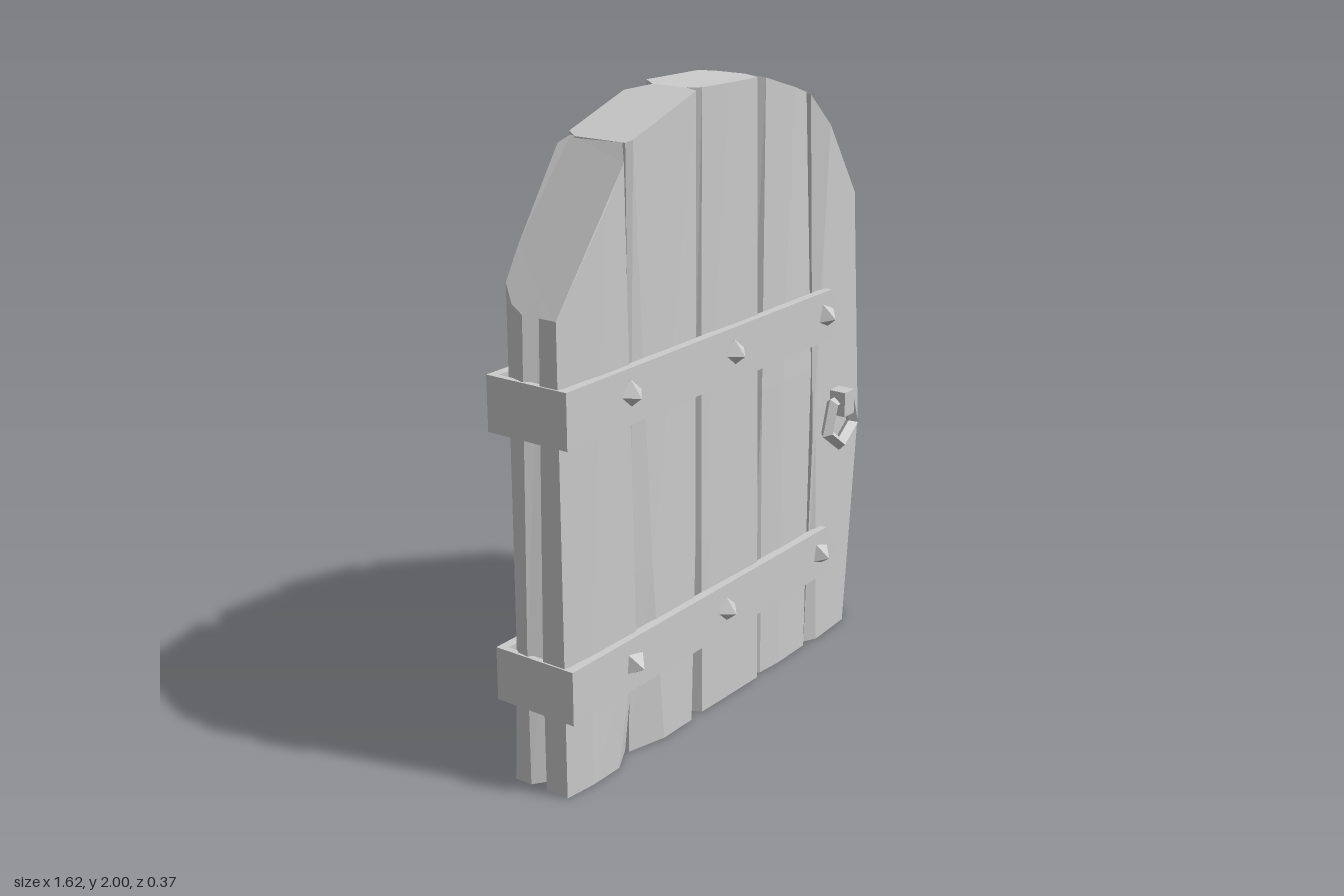
import * as THREE from 'three';

const material = new THREE.MeshStandardMaterial({ color: 0xcccccc, flatShading: true, side: THREE.DoubleSide });

function addMesh(parent, name, geometry, x = 0, y = 0, z = 0) {
  const mesh = new THREE.Mesh(geometry, material);
  mesh.name = name;
  mesh.position.set(x, y, z);
  parent.add(mesh);
  return mesh;
}

// Height of the arched top at a given x
const arch = [[-0.82, 1.44], [-0.6, 1.73], [-0.485, 1.89], [-0.16, 2], [0.17, 2], [0.49, 1.9], [0.73, 1.55], [0.8, 1.43]];
function topY(x) {
  let i = 0;
  while (i < arch.length - 2 && x > arch[i + 1][0]) i++;
  const [[x0, y0], [x1, y1]] = [arch[i], arch[i + 1]];
  return THREE.MathUtils.lerp(y0, y1, (x - x0) / (x1 - x0));
}

// Hewn plank: each column is [x,z at floor, x,z at height mid, x,z at the top],
// columns run from front left to front right and back along the rear
function plankGeometry(mid, columns) {
  const n = columns.length;
  const point = (i, level) => {
    const c = columns[i % n], x = c[level * 2], z = c[level * 2 + 1];
    return [x, [0, mid, topY(x)][level], z];
  };
  const positions = [];
  const tri = (a, b, c) => positions.push(...a, ...b, ...c);
  for (let level = 0; level < 2; level++) {
    for (let i = 0; i < n; i++) {
      const a = point(i, level), b = point(i + 1, level);
      const c = point(i + 1, level + 1), d = point(i, level + 1);
      tri(a, b, c);
      tri(a, c, d);
    }
  }
  for (const level of [0, 2]) {
    const ring = columns.map((c) => new THREE.Vector2(c[level * 2], -c[level * 2 + 1]));
    for (const [a, b, c] of THREE.ShapeUtils.triangulateShape(ring, [])) {
      const [p, q, r] = [a, b, c].map((i) => point(i, level));
      if (level) tri(p, q, r); else tri(p, r, q);
    }
  }
  const geometry = new THREE.BufferGeometry();
  geometry.setAttribute('position', new THREE.Float32BufferAttribute(positions, 3));
  geometry.computeVertexNormals();
  return geometry;
}

function addPlanks(door) {
  const planks = new THREE.Group();
  planks.name = 'planks';
  door.add(planks);

  // Outer plank on the hinge side, with a split along its edge
  addMesh(planks, 'hingePlank', plankGeometry(0.42, [
    [-0.81, 0.11, -0.81, 0.11, -0.81, 0.11],
    [-0.7, 0.122, -0.7, 0.12, -0.6, 0.122],
    [-0.58, 0.122, -0.49, 0.122, -0.52, 0.122],
    [-0.485, 0.07, -0.485, 0.118, -0.485, 0.09],
    [-0.485, -0.09, -0.485, -0.1, -0.48, -0.1],
    [-0.5, -0.12, -0.5, -0.125, -0.5, -0.13],
    [-0.7, -0.12, -0.7, -0.125, -0.69, -0.122],
    [-0.78, -0.115, -0.76, -0.115, -0.76, -0.11],
    [-0.81, -0.09, -0.805, -0.07, -0.795, -0.06],
    [-0.81, -0.03, -0.81, -0.03, -0.81, -0.01],
    [-0.77, 0.0, -0.775, 0.0, -0.77, 0.02],
    [-0.81, 0.03, -0.81, 0.03, -0.81, 0.05],
  ]));

  addMesh(planks, 'innerHingePlank', plankGeometry(0.6, [
    [-0.485, 0.085, -0.485, 0.1, -0.485, 0.1],
    [-0.35, 0.12, -0.4, 0.118, -0.465, 0.112],
    [-0.205, 0.12, -0.18, 0.118, -0.172, 0.115],
    [-0.16, 0.06, -0.16, 0.07, -0.16, 0.07],
    [-0.16, -0.1, -0.16, -0.11, -0.16, -0.05],
    [-0.18, -0.12, -0.165, -0.12, -0.21, -0.118],
    [-0.45, -0.12, -0.46, -0.12, -0.46, -0.12],
    [-0.485, -0.08, -0.485, -0.09, -0.485, -0.08],
  ]));

  addMesh(planks, 'middlePlank', plankGeometry(0.6, [
    [-0.16, 0.08, -0.16, 0.09, -0.16, 0.075],
    [-0.14, 0.115, -0.145, 0.115, -0.13, 0.105],
    [-0.05, 0.118, -0.1, 0.118, -0.01, 0.118],
    [0.165, 0.122, 0.155, 0.122, 0.13, 0.122],
    [0.172, 0.1, 0.172, 0.07, 0.172, 0.05],
    [0.172, -0.06, 0.172, -0.06, 0.172, -0.06],
    [0.14, -0.112, 0.145, -0.112, 0.15, -0.11],
    [-0.12, -0.12, -0.15, -0.12, -0.1, -0.12],
    [-0.16, -0.1, -0.16, -0.115, -0.16, -0.05],
  ]));

  addMesh(planks, 'innerLatchPlank', plankGeometry(1.0, [
    [0.172, 0.085, 0.172, 0.08, 0.172, 0.05],
    [0.2, 0.11, 0.19, 0.112, 0.21, 0.1],
    [0.3, 0.118, 0.3, 0.118, 0.35, 0.112],
    [0.46, 0.115, 0.475, 0.115, 0.44, 0.1],
    [0.485, 0.08, 0.485, 0.1, 0.485, 0.07],
    [0.485, -0.08, 0.485, -0.08, 0.485, -0.07],
    [0.46, -0.122, 0.465, -0.122, 0.46, -0.115],
    [0.26, -0.128, 0.25, -0.128, 0.26, -0.13],
    [0.19, -0.125, 0.185, -0.125, 0.185, -0.135],
    [0.172, -0.07, 0.172, -0.07, 0.172, -0.08],
  ]));

  // Outer plank on the latch side, slightly twisted and split from the top
  addMesh(planks, 'latchPlank', plankGeometry(0.75, [
    [0.485, 0.1, 0.485, 0.12, 0.49, 0.085],
    [0.53, 0.122, 0.5, 0.122, 0.56, 0.118],
    [0.72, 0.112, 0.79, 0.112, 0.73, 0.112],
    [0.808, 0.06, 0.808, 0.098, 0.79, 0.07],
    [0.808, 0.01, 0.808, 0.02, 0.79, 0.04],
    [0.808, -0.03, 0.808, 0.0, 0.7, -0.03],
    [0.78, -0.045, 0.806, -0.03, 0.79, -0.1],
    [0.805, -0.06, 0.804, -0.08, 0.79, -0.115],
    [0.79, -0.12, 0.795, -0.125, 0.765, -0.13],
    [0.64, -0.125, 0.64, -0.122, 0.73, -0.125],
    [0.52, -0.118, 0.51, -0.118, 0.53, -0.115],
    [0.485, -0.07, 0.485, -0.08, 0.49, -0.07],
  ]));
}

// Iron strap: pointed bars on both faces joined round the hinge edge
function addStrap(door, y, studs) {
  const strap = new THREE.Group();
  strap.name = 'strap';
  strap.position.y = y;
  door.add(strap);
  const h = 0.085;
  const outline = new THREE.Shape([[-0.815, -h], [0.545, -h], [0.61, 0], [0.545, h], [-0.815, h]]
    .map(([px, py]) => new THREE.Vector2(px, py)));
  const bar = new THREE.ExtrudeGeometry(outline, { depth: 0.03, bevelEnabled: false });
  addMesh(strap, 'frontBar', bar, 0, 0, 0.115);
  addMesh(strap, 'backBar', bar, 0, 0, -0.145);
  addMesh(strap, 'edgePlate', new THREE.BoxGeometry(0.02, 2 * h, 0.29), -0.806, 0, 0);
  for (const side of [1, -1]) {
    studs.forEach(([x, dy, turn]) => {
      const stud = addMesh(strap, 'stud', new THREE.OctahedronGeometry(0.046), x, dy, side * 0.142);
      stud.rotation.set(0.12, -0.1, turn);
    });
  }
}

// Five-sided ring pull hanging from a square block
function addHandle(door, side) {
  const handle = new THREE.Group();
  handle.name = side > 0 ? 'frontHandle' : 'backHandle';
  door.add(handle);
  const ring = addMesh(handle, 'ring', new THREE.TorusGeometry(0.086, 0.024, 4, 5), 0.627, 0.785, side * 0.138);
  ring.rotation.z = -Math.PI / 2;
  addMesh(handle, 'ringBlock', new THREE.BoxGeometry(0.06, 0.085, 0.08), 0.622, 0.853, side * 0.138);
}

export function createModel() {
  const door = new THREE.Group();
  door.name = 'woodenDoor';
  addPlanks(door);
  addStrap(door, 1.175, [[-0.53, 0.008, 0.1], [-0.012, 0.005, 0.15], [0.51, 0.003, 0.4]]);
  addStrap(door, 0.335, [[-0.53, 0, 0.6], [-0.05, 0, 0.1], [0.505, 0, 0.5]]);
  for (const side of [1, -1]) addHandle(door, side);
  return door;
}
